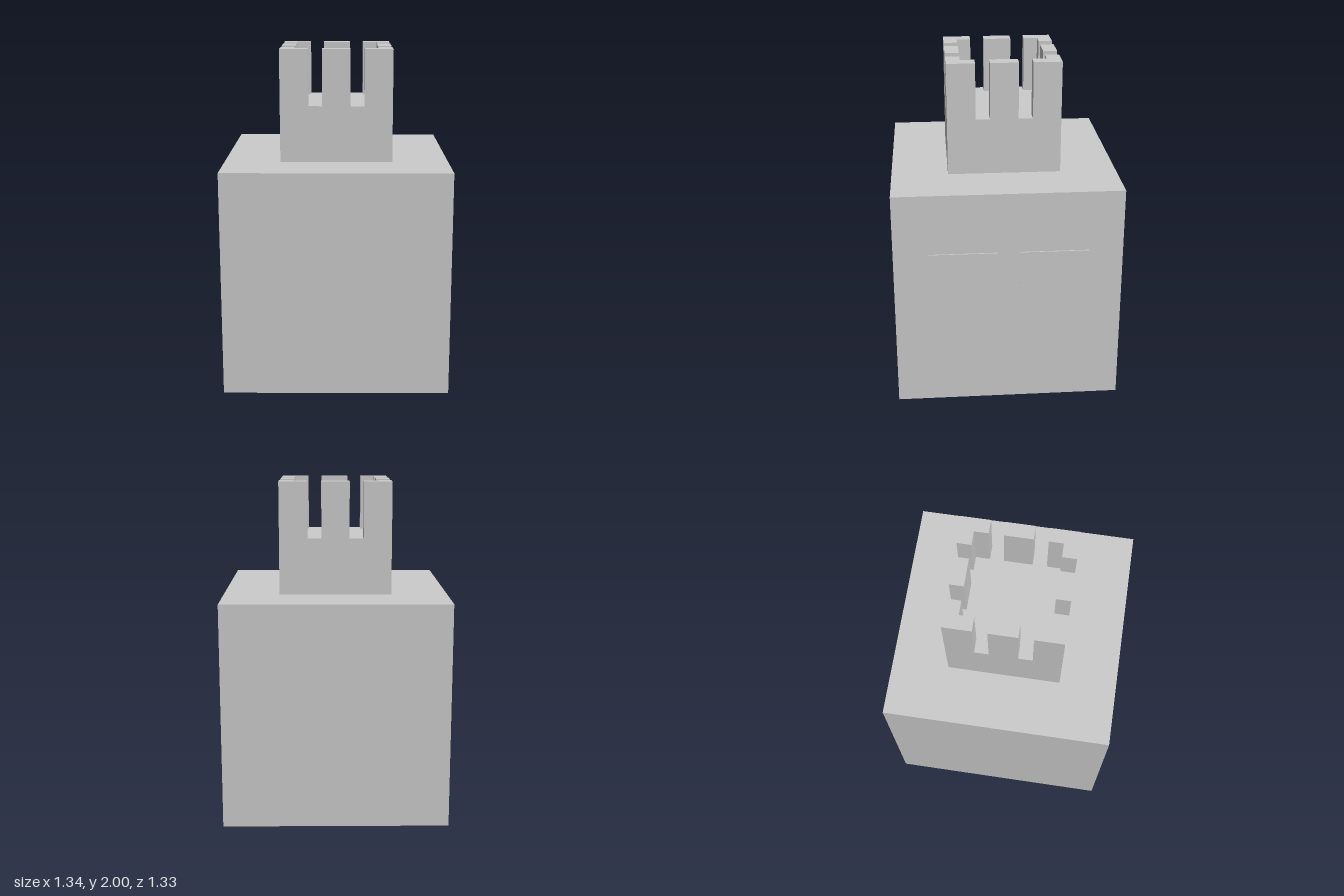
import * as THREE from 'three';

export function createModel() {
  const group = new THREE.Group();
  const material = new THREE.MeshStandardMaterial({ color: 0xcccccc, flatShading: true });
  const u = 1 / 12; // crown module: wall thickness and slot width
  const cx = -0.006; // cube sits slightly off centre because of the eyes

  const add = (name, geometry, x, y, z, parent = group) => {
    const mesh = new THREE.Mesh(geometry, material);
    mesh.name = name;
    mesh.position.set(x, y, z);
    parent.add(mesh);
    return mesh;
  };
  const box = (name, w, h, d, x, y, z, parent) =>
    add(name, new THREE.BoxGeometry(w, h, d), x, y, z, parent);

  // Main cube
  box('body', 16 * u, 16 * u, 16 * u, cx, 8 * u, 0);

  // Two thin raised eyes on the +x side
  for (const side of [1, -1]) {
    box(side > 0 ? 'frontEye' : 'backEye', 0.02, 0.197, 0.4, 0.659, 0.872, side * 0.265);
  }

  // Crown: solid block carrying a ring of battlements
  const crown = new THREE.Group();
  crown.name = 'crown';
  crown.position.set(cx, 16 * u, 0);
  group.add(crown);
  box('crownBase', 8 * u, 4 * u, 8 * u, 0, 2 * u, 0, crown);

  // L-shaped corner battlement, extruded upwards
  const corner = new THREE.Shape(
    [[4, 4], [2, 4], [2, 3], [3, 3], [3, 2], [4, 2]].map(([x, y]) => new THREE.Vector2(x * u, y * u))
  );
  const cornerGeometry = new THREE.ExtrudeGeometry(corner, { depth: 4 * u, bevelEnabled: false });
  cornerGeometry.rotateX(-Math.PI / 2);

  // One corner and one middle battlement per side
  for (let i = 0; i < 4; i++) {
    const side = new THREE.Group();
    side.name = 'crownSide';
    side.rotation.y = (i * Math.PI) / 2;
    crown.add(side);
    add('cornerBattlement', cornerGeometry, 0, 4 * u, 0, side);
    box('middleBattlement', 2 * u, 4 * u, u, 0, 6 * u, 3.5 * u, side);
  }
  return group;
}
